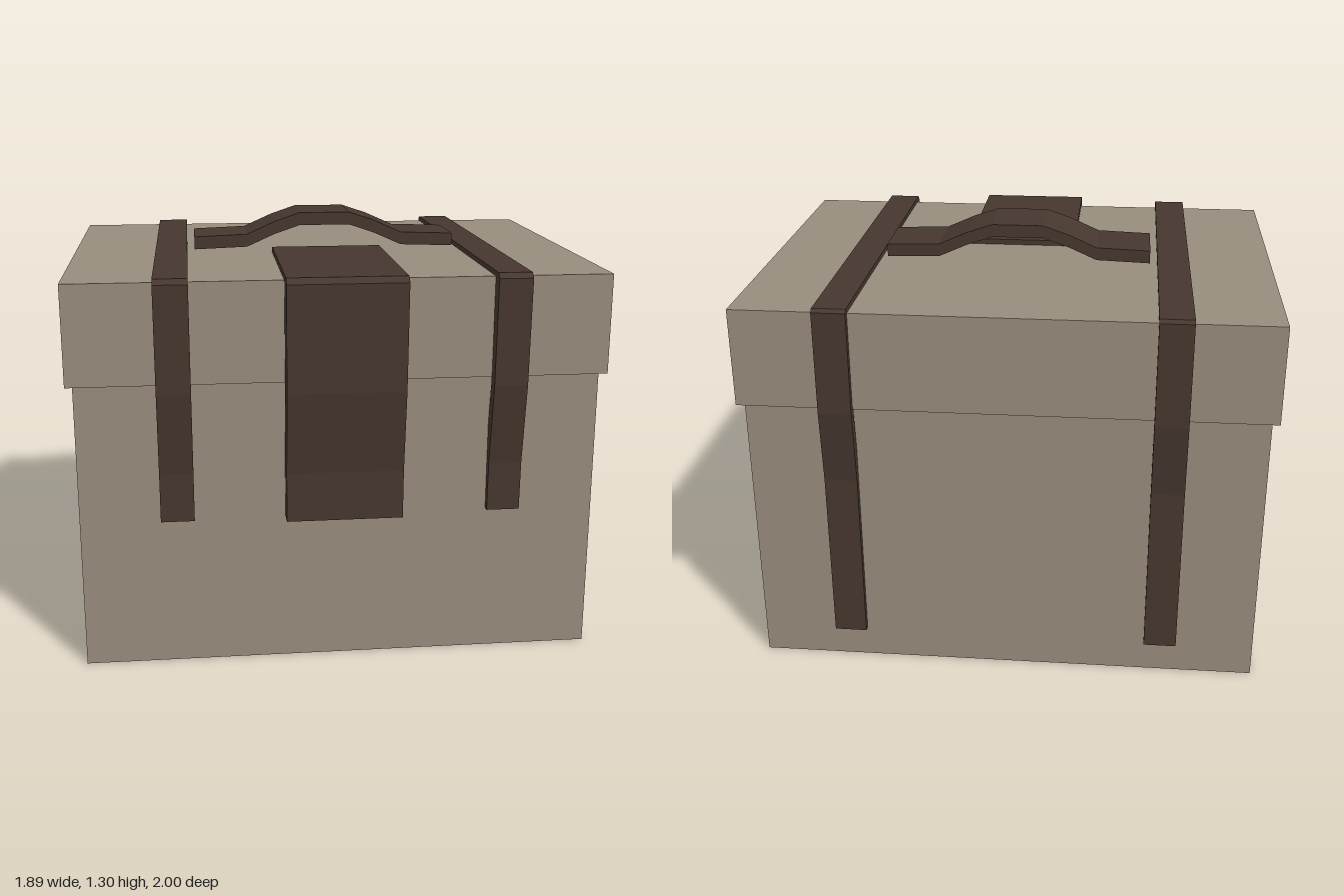
import * as THREE from 'three';

const tan = new THREE.MeshStandardMaterial({ color: 0x988d7d });
const brown = new THREE.MeshStandardMaterial({ color: 0x46372e });
tan.flatShading = brown.flatShading = true;

// Box standing between two heights
function slab(name, depth, y0, y1, length) {
  const mesh = new THREE.Mesh(new THREE.BoxGeometry(depth, y1 - y0, length), tan);
  mesh.name = name;
  mesh.position.y = (y0 + y1) / 2;
  return mesh;
}

// Side profile extruded to a width, centred on z
function band(name, points, width) {
  const shape = new THREE.Shape(points.map(([x, y]) => new THREE.Vector2(x, y)));
  const geometry = new THREE.ExtrudeGeometry(shape, { depth: width, bevelEnabled: false });
  geometry.translate(0, 0, -width / 2);
  const mesh = new THREE.Mesh(geometry, brown);
  mesh.name = name;
  return mesh;
}

export function createModel() {
  const model = new THREE.Group();
  model.name = 'chest';

  // Chest is turned on its vertical axis; its front is local +x
  const chest = new THREE.Group();
  chest.name = 'turnedChest';
  chest.rotation.y = -0.585;
  model.add(chest);

  chest.add(slab('body', 1.164, 0, 0.9, 1.554));
  chest.add(slab('lid', 1.21, 0.88, 1.18, 1.594));

  // Two straps over the lid, following the step down to the body
  const strapProfile = [
    [0.602, 0.46], [0.606, 0.61], [0.64, 0.86], [0.65, 1.18], [0.635, 1.195],
    [-0.613, 1.195], [-0.624, 1.185], [-0.624, 0.87], [-0.603, 0.64], [-0.6, 0.1],
    [-0.57, 0.1], [-0.572, 0.64], [-0.595, 0.87], [-0.595, 1.165],
    [0.605, 1.165], [0.6, 0.86], [0.565, 0.61], [0.562, 0.46],
  ];
  [['leftStrap', 0.488], ['rightStrap', -0.496]].forEach(([name, z]) => {
    const strap = band(name, strapProfile, 0.1);
    strap.position.z = z;
    chest.add(strap);
  });

  // Wide closing flap
  const flap = band('frontFlap', [
    [0.637, 0.46], [0.64, 0.61], [0.673, 0.86], [0.684, 1.18], [0.668, 1.197],
    [0.1, 1.197], [0.1, 1.165], [0.61, 1.165], [0.605, 0.86], [0.572, 0.61], [0.57, 0.46],
  ], 0.348);
  flap.position.z = -0.008;
  chest.add(flap);

  // Arched handle: half profile mirrored along the chest's length
  const half = [[0.08, 1.305], [0.16, 1.278], [0.25, 1.238], [0.418, 1.232]];
  const top = [...half.map(([x, y]) => [-x, y]).reverse(), ...half];
  const under = top.map(([x, y]) => [x, y - 0.04]).reverse();
  const handle = band('handle', [...top, ...under], 0.197);
  handle.rotation.y = -Math.PI / 2;
  handle.position.set(-0.004, 0, -0.004);
  chest.add(handle);

  return model;
}
